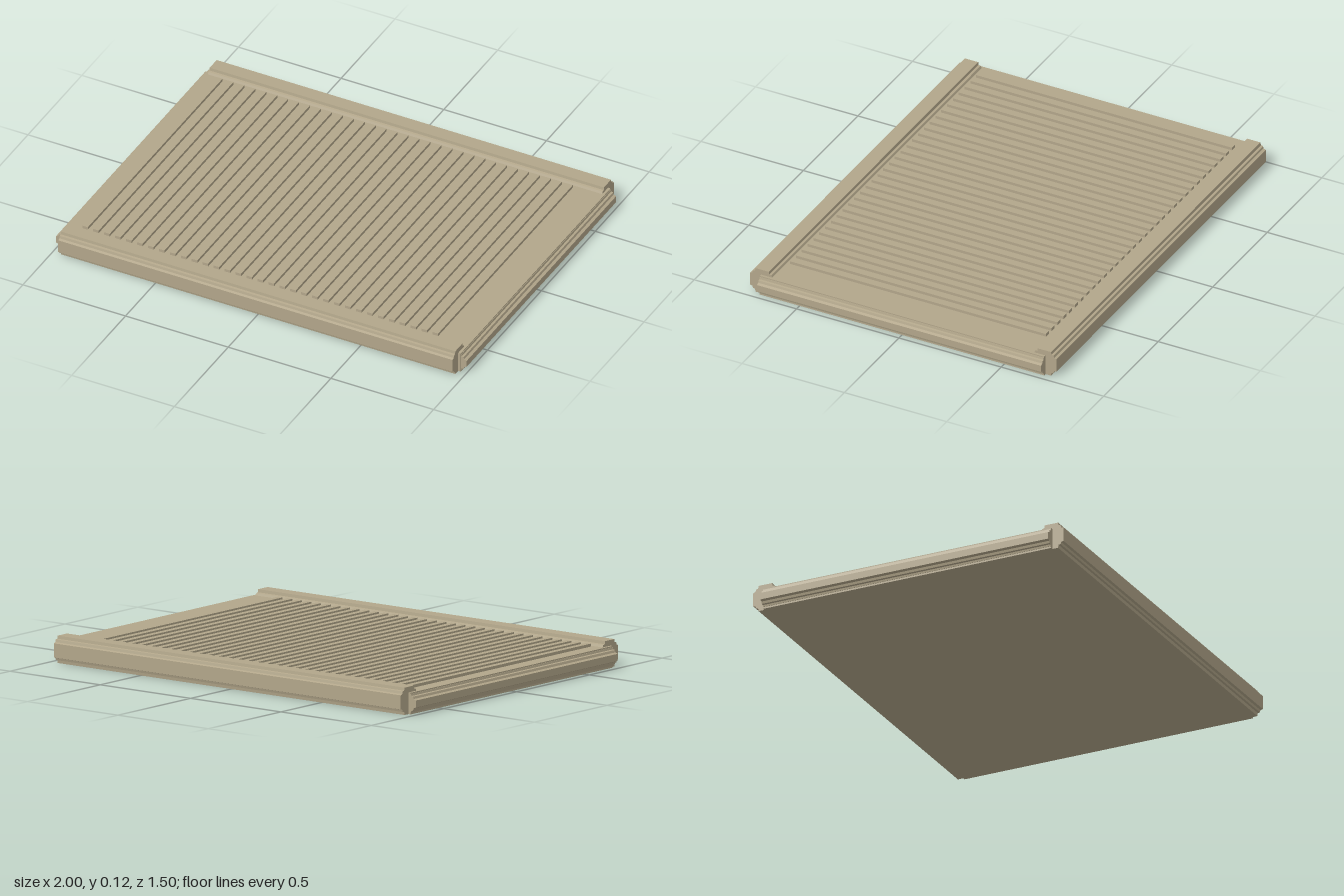
import * as THREE from 'three';

const sand = new THREE.MeshStandardMaterial({ color: 0xb2a68a });
sand.name = 'sand';

// Extrude a closed outline, centred along its length
function extrusion(points, length) {
  const shape = new THREE.Shape(points.map(([a, b]) => new THREE.Vector2(a, b)));
  const geometry = new THREE.ExtrudeGeometry(shape, { depth: length, bevelEnabled: false });
  return geometry.translate(0, 0, -length / 2);
}

export function createModel() {
  const model = new THREE.Group();
  model.name = 'ribbedTray';

  function add(name, geometry, x = 0, y = 0, z = 0, turn = 0) {
    const mesh = new THREE.Mesh(geometry, sand);
    mesh.name = name;
    mesh.position.set(x, y, z);
    mesh.rotation.y = turn;
    model.add(mesh);
    return mesh;
  }

  // Flat slab between the rails
  add('deck', new THREE.BoxGeometry(1.944, 0.095, 1.39), 0, 0.0475, 0);

  // Stepped rails along front and back, standing above the deck
  const railOutline = [
    [0.69, 0], [0.722, 0], [0.724, 0.014], [0.734, 0.015], [0.737, 0.025],
    [0.748, 0.028], [0.748, 0.09], [0.737, 0.094], [0.734, 0.105], [0.724, 0.107],
    [0.722, 0.12], [0.657, 0.12], [0.655, 0.107], [0.645, 0.105], [0.64, 0.094],
    [0.64, 0.09], [0.69, 0.09],
  ];
  const rail = extrusion(railOutline, 1.92).rotateY(-Math.PI / 2);
  add('frontRail', rail);
  add('backRail', rail, 0, 0, 0, Math.PI);

  // Stepped mouldings on the left and right ends
  const endOutline = [
    [0.965, 0.008], [0.974, 0.008], [0.976, 0.016], [0.985, 0.018], [0.988, 0.028],
    [1, 0.033], [1, 0.064], [0.988, 0.069], [0.985, 0.079], [0.976, 0.081],
    [0.974, 0.09], [0.965, 0.09],
  ];
  const moulding = extrusion(endOutline, 1.388);
  add('leftMoulding', moulding);
  add('rightMoulding', moulding, 0, 0, 0, Math.PI);

  // Row of raised ribs, set nearer the right end
  const rib = new THREE.BoxGeometry(0.027, 0.018, 1.25);
  for (let i = 0; i < 33; i++) {
    add('rib', rib, -0.894 + i * 0.0533, 0.099, 0);
  }

  return model;
}
